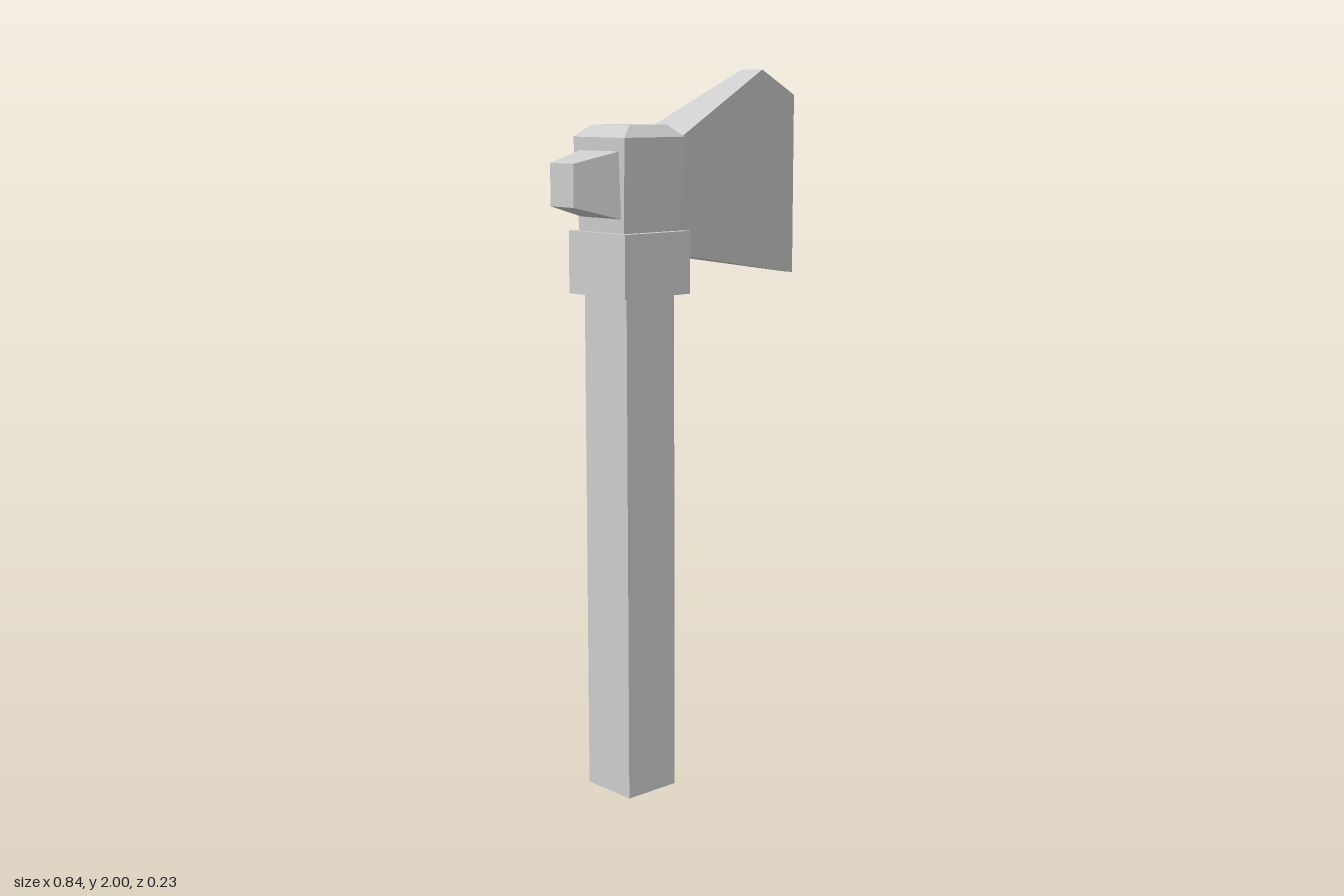
import * as THREE from 'three';

const steel = new THREE.MeshStandardMaterial({ color: 0xcccccc });
steel.name = 'plainGrey';

// Moves every vertex by a rule, then rebuilds the flat face normals.
function reshape(geometry, rule) {
  const pos = geometry.attributes.position;
  const v = new THREE.Vector3();
  for (let i = 0; i < pos.count; i++) {
    rule(v.fromBufferAttribute(pos, i));
    pos.setXYZ(i, v.x, v.y, v.z);
  }
  geometry.computeVertexNormals();
  return geometry;
}

// Four-sided block between two levels; each end is [x0, x1, halfDepth].
function taperedBlock(y0, y1, bottom, top = bottom) {
  return reshape(new THREE.BoxGeometry(1, 1, 1), (v) => {
    const [x0, x1, halfZ] = v.y > 0 ? top : bottom;
    v.set(v.x > 0 ? x1 : x0, v.y > 0 ? y1 : y0, v.z * 2 * halfZ);
  });
}

export function createModel() {
  const axe = new THREE.Group();
  axe.name = 'axe';
  const add = (name, geometry) => {
    const mesh = new THREE.Mesh(geometry, steel);
    mesh.name = name;
    axe.add(mesh);
  };

  add('handle', taperedBlock(0, 1.42, [-0.275, -0.105, 0.087]));
  add('collar', taperedBlock(1.4, 1.57, [-0.305, -0.073, 0.116]));

  // Head socket, flaring upwards, with a bevelled cap
  const rim = [-0.295, -0.082, 0.105];
  add('headSocket', taperedBlock(1.56, 1.82, [-0.287, -0.09, 0.092], rim));
  add('headCap', taperedBlock(1.82, 1.852, rim, [-0.254, -0.124, 0.078]));

  // Blade, thinning evenly towards its cutting edge
  const outline = new THREE.Shape([
    [-0.1, 1.505], [0.42, 1.42], [0.42, 1.93], [0.27, 2], [-0.1, 1.81],
  ].map(([x, y]) => new THREE.Vector2(x, y)));
  const blade = new THREE.ExtrudeGeometry(outline, { depth: 2, bevelEnabled: false });
  add('blade', reshape(blade, (v) => {
    v.z = (v.z - 1) * THREE.MathUtils.mapLinear(v.x, -0.08, 0.42, 0.091, 0.022);
  }));

  // Poll, a small tapered butt behind the socket
  add('poll', reshape(new THREE.BoxGeometry(1, 1, 1), (v) => {
    const outer = v.x < 0;
    const y = v.y > 0 ? (outer ? 1.755 : 1.788) : (outer ? 1.642 : 1.606);
    v.set(outer ? -0.42 : -0.28, y, v.z * 2 * (outer ? 0.048 : 0.084));
  }));

  return axe;
}
